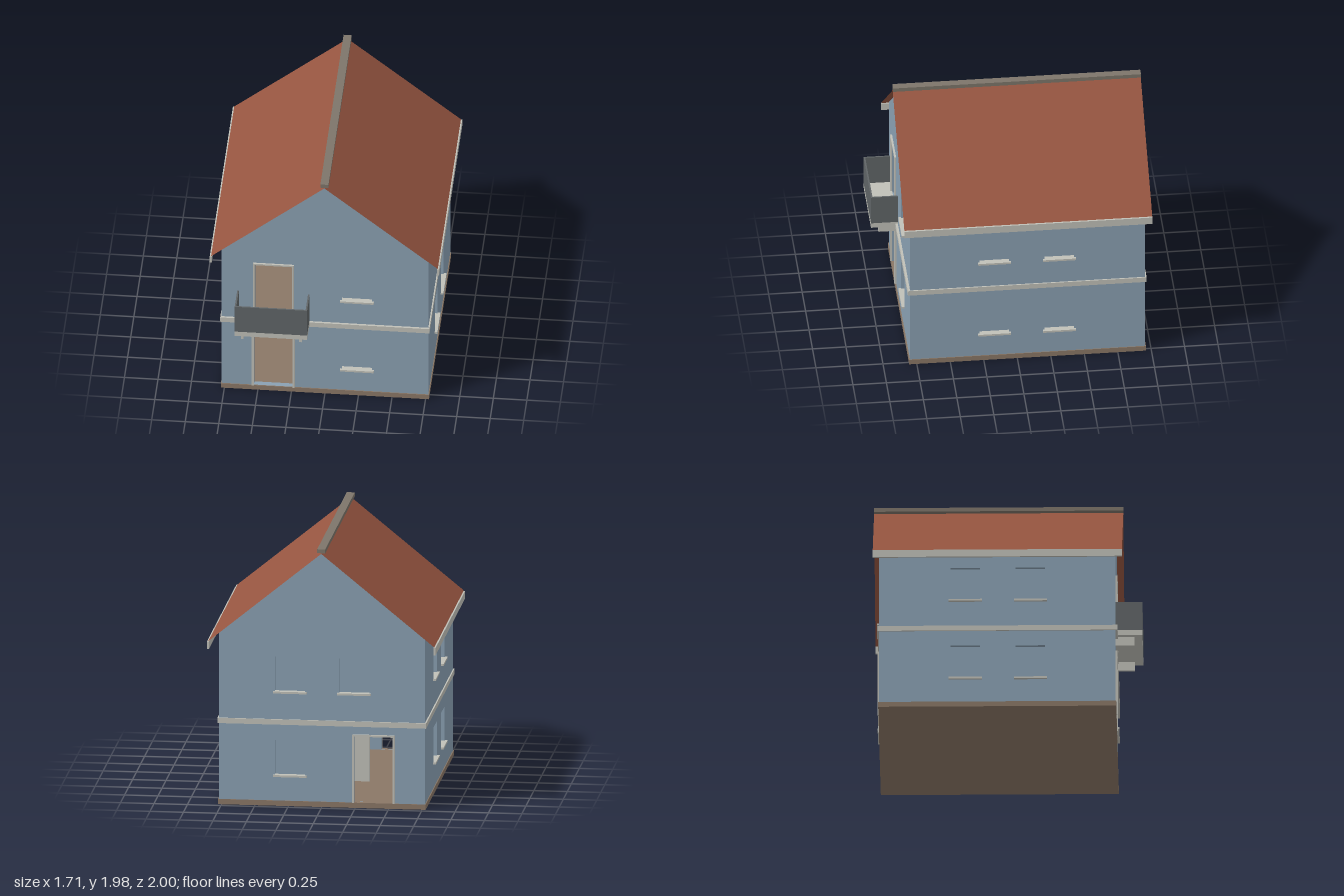
import * as THREE from 'three';

const mat = (name, color, side = THREE.FrontSide) => {
  const m = new THREE.MeshStandardMaterial({ color, side });
  m.name = name;
  return m;
};

export function createModel() {
  const house = new THREE.Group();
  house.name = 'house';
  const blue = mat('wall blue', 0x8aa0b2);
  const trim = mat('pale grey trim', 0xc0c0b8);
  const tile = mat('roof red', 0x965540, THREE.DoubleSide);
  const brown = mat('base brown', 0x8a7766);
  const ridgeGrey = mat('ridge grey', 0x7d756a);
  const dark = mat('parapet grey', 0x606567);

  const add = (name, geometry, material, parent = house) => {
    const mesh = new THREE.Mesh(geometry, material);
    mesh.name = name;
    parent.add(mesh);
    return mesh;
  };
  // Box given by its min and max on each axis
  const box = (name, material, [x0, x1], [y0, y1], [z0, z1], parent) =>
    add(name, new THREE.BoxGeometry(x1 - x0, y1 - y0, z1 - z0)
      .translate((x0 + x1) / 2, (y0 + y1) / 2, (z0 + z1) / 2), material, parent);

  const T = 0.04;                       // wall thickness
  const LOW = [0.235, 0.5], HIGH = [0.872, 1.137];
  const X = 0.77, FRONT = 0.8, BACK = -0.955;
  const DOOR = [-0.53, -0.24];

  // Extruded wall with rectangular holes [[u0, u1], [y0, y1]]
  const wallGeometry = (outline, holes, depth = T) => {
    const shape = new THREE.Shape(outline.map(p => new THREE.Vector2(...p)));
    for (const [[a, b], [c, d]] of holes) {
      shape.holes.push(new THREE.Path([[a, c], [a, d], [b, d], [b, c]].map(p => new THREE.Vector2(...p))));
    }
    return new THREE.ExtrudeGeometry(shape, { depth, bevelEnabled: false });
  };

  // Gable walls
  const gable = [[-X, 0.02], [X, 0.02], [X, 1.305], [0, 1.935], [-X, 1.305]];
  const groundDoor = [DOOR, [0.04, 0.545]];
  const balconyDoor = [[-0.523, -0.245], [0.66, 1.162]];
  const rightCol = [0.125, 0.352], leftCol = [-0.355, -0.128];
  const frontWindows = [[rightCol, LOW], [rightCol, HIGH]];
  const backWindows = [[rightCol, LOW], [rightCol, HIGH], [leftCol, HIGH]];
  add('frontWall', wallGeometry(gable, [groundDoor, balconyDoor, ...frontWindows]).translate(0, 0, FRONT - T), blue);
  add('backWall', wallGeometry(gable, [groundDoor, ...backWindows]).translate(0, 0, BACK), blue);

  // Recessed panes and sills of the gable walls
  for (const [list, z, s] of [[frontWindows, FRONT, 1], [backWindows, BACK, -1]]) {
    for (const [u, v] of list) {
      const pane = [z - s * 0.035, z - s * 0.027].sort((a, b) => a - b);
      const sill = [z - s * 0.027, z + s * 0.02].sort((a, b) => a - b);
      box('windowPane', blue, u, v, pane);
      box('windowSill', trim, [u[0] - 0.012, u[1] + 0.012], [v[0] - 0.013, v[0] + 0.002], [
        Math.min(z, z + s * 0.02), Math.max(z, z + s * 0.02)]);
      box('innerSill', trim, u, [v[0] - 0.002, v[0] + 0.002], sill);
    }
  }

  // Side walls, panes and sills
  const sideWindows = [];
  for (const u of [[0.06, 0.28], [-0.425, -0.203]]) for (const v of [LOW, HIGH]) sideWindows.push([u, v]);
  const z0 = BACK + T, z1 = FRONT - T;
  for (const s of [1, -1]) {
    const g = wallGeometry([[z0, 0.02], [z1, 0.02], [z1, 1.305], [z0, 1.305]], sideWindows);
    g.rotateY(-Math.PI / 2).translate(s > 0 ? X : -X + T, 0, 0);
    add(s > 0 ? 'leftWall' : 'rightWall', g, blue);
    const span = (a, b) => [Math.min(s * a, s * b), Math.max(s * a, s * b)];
    for (const [u, v] of sideWindows) {
      box('windowPane', blue, span(X - 0.035, X - 0.027), v, u);
      box('windowSill', trim, span(X, X + 0.02), [v[0] - 0.013, v[0] + 0.002], [u[0] - 0.012, u[1] + 0.012]);
      box('innerSill', trim, span(X - 0.027, X), [v[0] - 0.002, v[0] + 0.002], u);
    }
  }

  // Door surrounds: U-shaped frames standing off the wall
  const frame = (name, [a, b], [y0, y1], w, z) => {
    const g = wallGeometry([
      [a - w, y0], [a, y0], [a, y1], [b, y1], [b, y0], [b + w, y0], [b + w, y1 + w], [a - w, y1 + w],
    ], [], 0.014);
    add(name, g.translate(0, 0, z), trim);
  };
  frame('frontDoorFrame', ...groundDoor, 0.015, FRONT);
  frame('backDoorFrame', ...groundDoor, 0.015, BACK - 0.014);
  frame('balconyDoorFrame', ...balconyDoor, 0.013, FRONT);

  // Base, storey slab and ceilings
  box('base', brown, [-0.776, 0.776], [0, 0.04], [-0.96, 0.807]);
  box('storeySlab', trim, [-0.78, 0.78], [0.62, 0.66], [-0.965, 0.817]);
  box('upperFloor', brown, [-X + T, X - T], [0.66, 0.665], [z0, z1]);
  box('atticFloor', trim, [-X + T, X - T], [1.285, 1.303], [z0, z1]);

  // Ground floor partition with a doorway, and the lined hall wall
  add('partition', wallGeometry([[-0.73, 0.03], [0.73, 0.03], [0.73, 0.62], [-0.73, 0.62]],
    [[[-0.495, -0.275], [0.04, 0.51]]], 0.03).translate(0, 0, -0.27), trim);
  box('hallLining', trim, [-X + T, -X + T + 0.005], [0.04, 0.62], [z0, z1]);

  // Balcony: slab, parapet and brackets
  const balcony = new THREE.Group();
  balcony.name = 'balcony';
  house.add(balcony);
  const bx = [-0.655, -0.115], by = [0.675, 0.905];
  box('balconySlab', trim, bx, [0.635, 0.675], [0.8, 1], balcony);
  box('parapetFront', dark, bx, by, [0.988, 1], balcony);
  for (const x of [bx[0], bx[1] - 0.012]) box('parapetSide', dark, [x, x + 0.012], by, [0.8, 0.988], balcony);
  for (const x of [-0.615, -0.18]) box('bracket', trim, [x, x + 0.021], [0.565, 0.635], [0.8, 0.94], balcony);

  // Roof sheets, eaves boards and ridge
  const rz = [-1, 0.85];
  const run = 0.845, rise = 0.69;
  for (const s of [1, -1]) {
    const sheet = new THREE.PlaneGeometry(Math.hypot(run, rise), rz[1] - rz[0]);
    sheet.rotateX(-Math.PI / 2).rotateZ(-s * Math.atan2(rise, run));
    sheet.translate(s * run / 2, 1.94 - rise / 2, (rz[0] + rz[1]) / 2);
    add('roofSlope', sheet, tile);
    box('eavesBoard', trim, s > 0 ? [0.84, 0.855] : [-0.855, -0.84], [1.19, 1.247], rz);
  }
  box('ridgeCap', ridgeGrey, [-0.03, 0.03], [1.945, 1.975], rz);

  return house;
}
